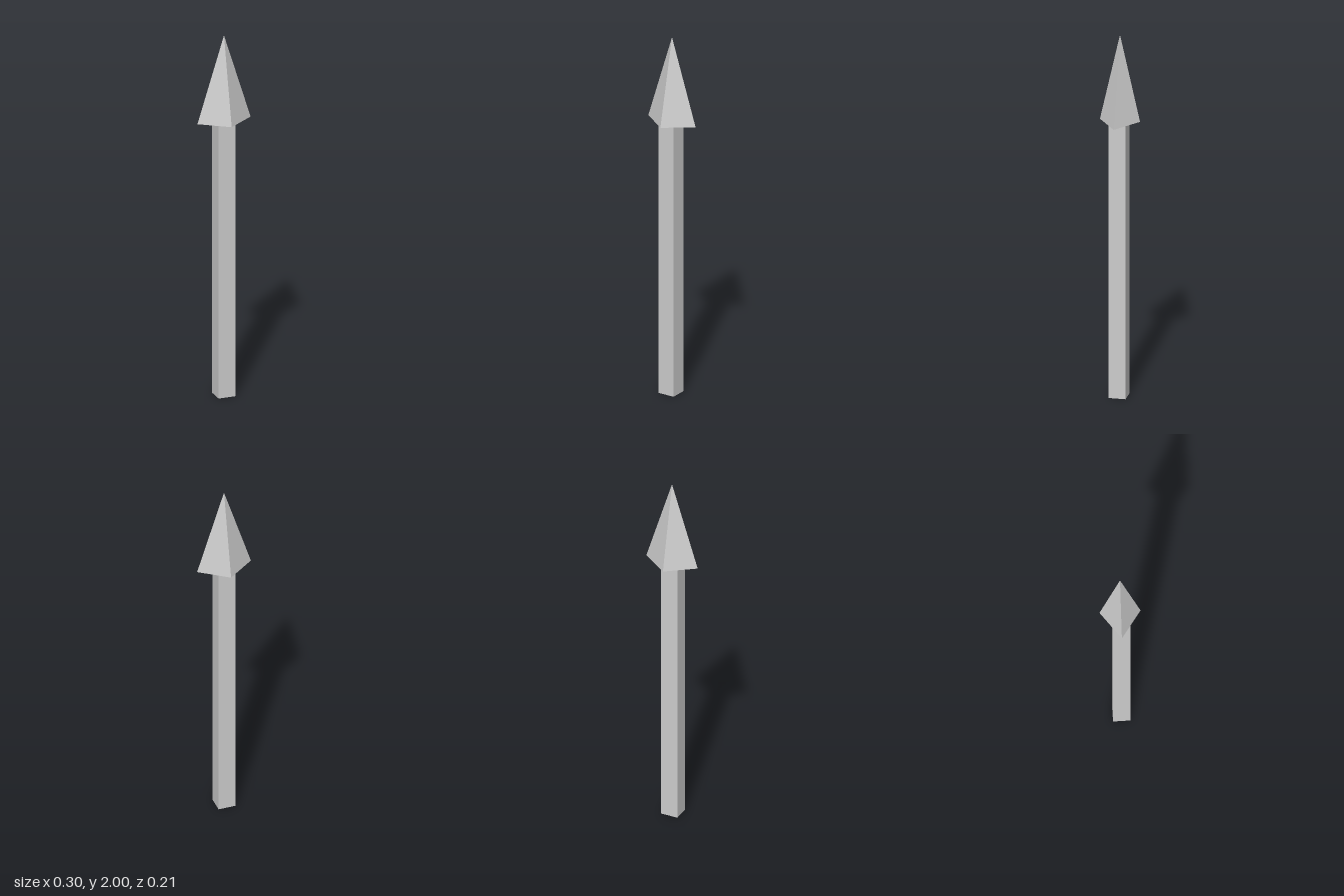
import * as THREE from 'three';

export function createModel() {
  const group = new THREE.Group();
  const material = new THREE.MeshStandardMaterial({ color: 0xcccccc, flatShading: true });
  const headBase = 1.526;

  // Square shaft, set slightly off the head's axis
  const shaft = new THREE.Mesh(new THREE.BoxGeometry(0.095, headBase, 0.091), material);
  shaft.name = 'shaft';
  shaft.position.set(-0.003, headBase / 2, 0.006);
  group.add(shaft);

  // Four-sided pointed head with a diamond base, closed underneath
  const headHeight = 2 - headBase;
  const headGeometry = new THREE.ConeGeometry(1, headHeight, 4);
  headGeometry.scale(0.149, 1, 0.107);
  const head = new THREE.Mesh(headGeometry, material);
  head.name = 'arrowHead';
  head.position.y = headBase + headHeight / 2;
  group.add(head);

  return group;
}
